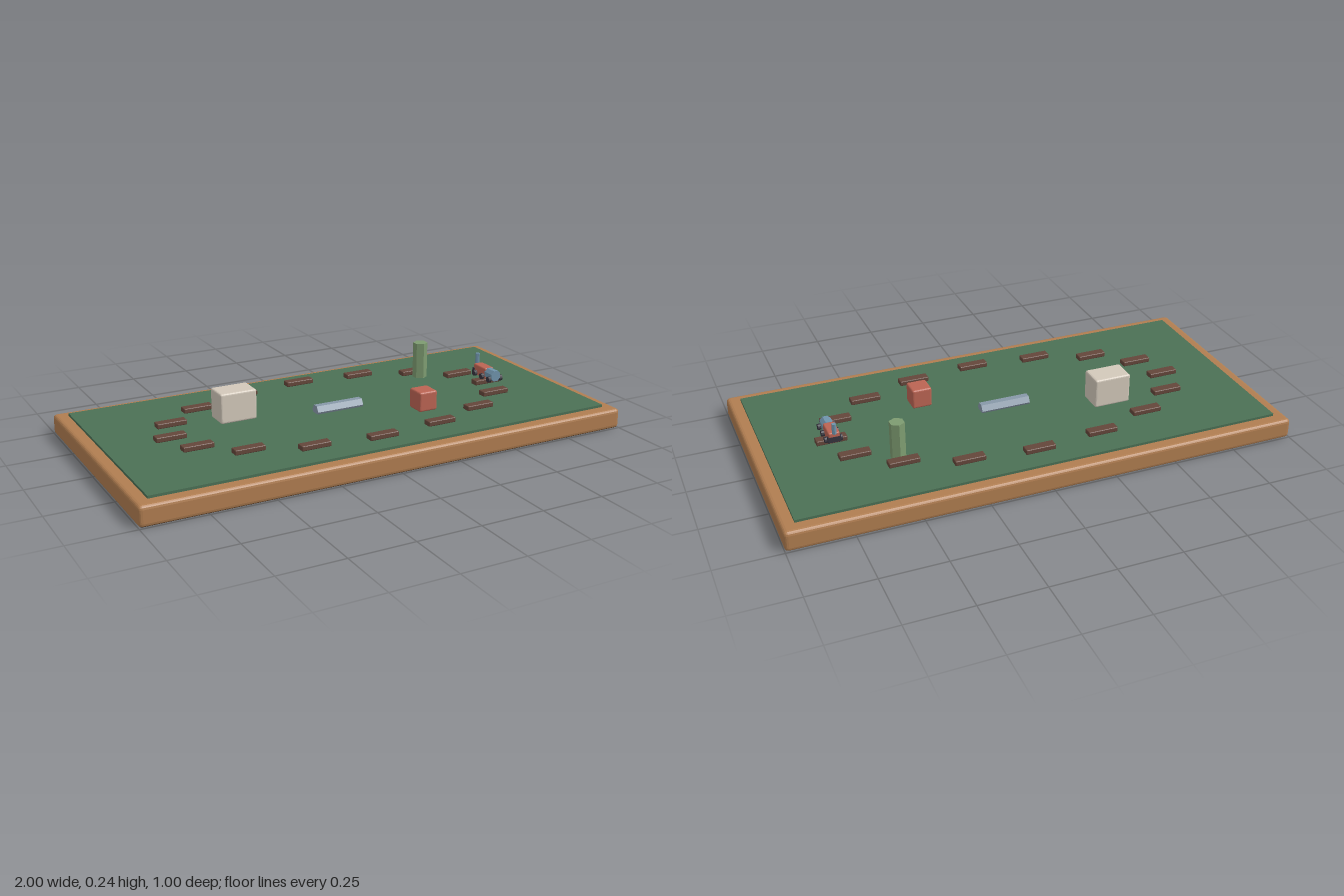
import * as THREE from 'three';
import { RoundedBoxGeometry } from 'three/addons/geometries/RoundedBoxGeometry.js';

const mat = (color) => new THREE.MeshStandardMaterial({ color, flatShading: true });
const wood = mat(0xb07d50), felt = mat(0x4b7055), tieWood = mat(0x64463a);
const cream = mat(0xd2c8ba), red = mat(0xbb6453), green = mat(0x7d9b70);
const slate = mat(0x8798a8), blue = mat(0x6f93ab), dark = mat(0x35333d);
const underside = mat(0x523828);

export function createModel() {
  const model = new THREE.Group();

  function add(name, geometry, material, x, y, z, parent = model) {
    const mesh = new THREE.Mesh(geometry, material);
    mesh.name = name;
    mesh.position.set(x, y, z);
    parent.add(mesh);
    return mesh;
  }
  const box = (w, h, d) => new THREE.BoxGeometry(w, h, d);
  const rounded = (w, h, d, r) => new RoundedBoxGeometry(w, h, d, 2, r);
  const hex = (r, h) => new THREE.CylinderGeometry(r, r, h, 6);

  // Table board with a green playing surface
  add('board', rounded(2, 0.08, 1, 0.015), [wood, wood, wood, underside, wood, wood], 0, 0.04, 0);
  add('surface', box(1.9, 0.01, 0.9), felt, 0, 0.085, 0);

  // Sleepers around an oval track
  const sleeper = rounded(0.12, 0.02, 0.038, 0.004);
  for (let i = 0; i < 16; i++) {
    const a = (i / 16) * Math.PI * 2;
    add('sleeper', sleeper, tieWood, 0.7 * Math.cos(a), 0.1, 0.35 * Math.sin(a));
  }

  // Scenery
  add('station', rounded(0.15, 0.12, 0.1, 0.008), cream, -0.4, 0.15, -0.1);
  add('house', rounded(0.08, 0.08, 0.08, 0.008), red, 0.3, 0.13, 0.15);
  add('tree', hex(0.03, 0.15), green, 0.5, 0.165, -0.2);
  add('tunnel', hex(0.025, 0.2).rotateZ(Math.PI / 2), slate, 0, 0.099, 0);

  // Small engine facing along z
  const train = new THREE.Group();
  train.name = 'train';
  train.position.set(0.7, 0, 0);
  model.add(train);
  add('engineBody', rounded(0.044, 0.045, 0.085, 0.006), red, 0, 0.138, -0.018, train);
  add('boiler', new THREE.CylinderGeometry(0.024, 0.024, 0.05, 8).rotateX(Math.PI / 2).rotateZ(Math.PI / 8),
    blue, 0, 0.138, 0.047, train);
  add('chimney', hex(0.009, 0.042), blue, 0, 0.18, -0.064, train);
  add('rearBuffer', box(0.05, 0.022, 0.014), dark, 0, 0.132, -0.056, train);
  const wheel = new THREE.CylinderGeometry(0.012, 0.012, 0.012, 10).rotateZ(Math.PI / 2);
  for (const z of [0.062, 0.011, -0.04]) {
    for (const side of [-1, 1]) add('wheel', wheel, dark, side * 0.028, 0.125, z, train);
  }
  return model;
}
